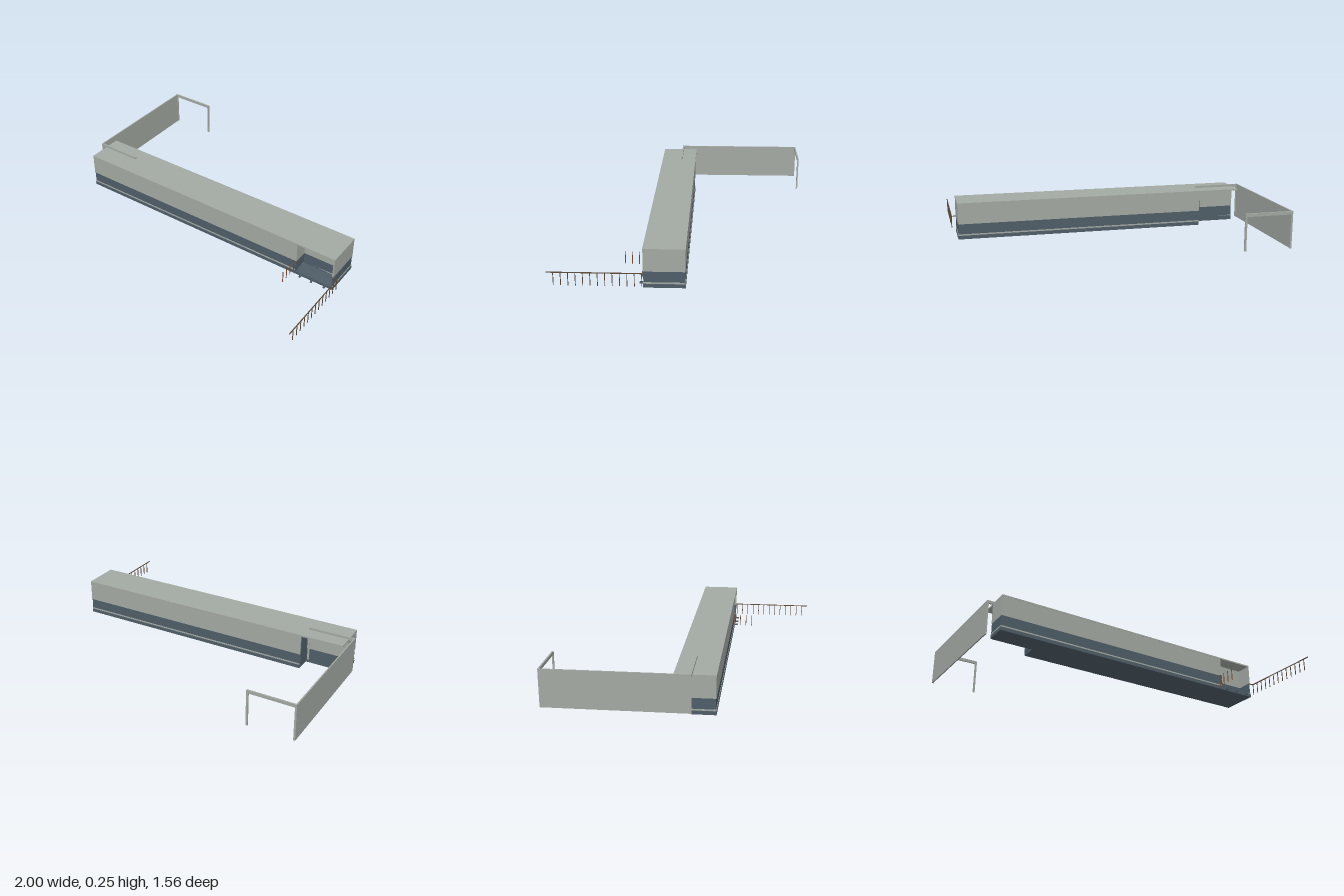
import * as THREE from 'three';

const mat = (name, color) => {
  const m = new THREE.MeshStandardMaterial({ color });
  m.name = name;
  return m;
};

export function createModel() {
  const model = new THREE.Group();
  const cladding = mat('grey cladding', 0xa3a9a3);
  const glazing = mat('slate blue', 0x4f5e68);
  const wood = mat('dark wood', 0x5c4a36);
  const redWood = mat('reddish wood', 0x7a4a2c);

  const add = (name, geometry, material, parent = model) => {
    const mesh = new THREE.Mesh(geometry, material);
    mesh.name = name;
    parent.add(mesh);
    return mesh;
  };

  // box given by its two extreme corners
  const box = (name, x0, x1, y0, y1, z0, z1, material, parent) => {
    const g = new THREE.BoxGeometry(x1 - x0, y1 - y0, z1 - z0);
    g.translate((x0 + x1) / 2, (y0 + y1) / 2, (z0 + z1) / 2);
    return add(name, g, material, parent);
  };

  // floor plan of [x, z] points raised from y0 to y1
  const storey = (name, plan, y0, y1, material) => {
    const shape = new THREE.Shape(plan.map(([x, z]) => new THREE.Vector2(x, -z)));
    const g = new THREE.ExtrudeGeometry(shape, { depth: y1 - y0, bevelEnabled: false });
    g.rotateX(-Math.PI / 2).translate(0, y0, 0);
    return add(name, g, material);
  };

  // building plan: open porch at the back, recessed entrance at the front
  const L = -0.96, R = 0.97, B = -0.012, F = 0.233;
  const porch = [[-0.68, B], [-0.68, 0.09], [L, 0.09]];
  const plan = (i) => [
    [L + i, F - i], [0.71, F - i], [0.71, 0.135], [0.96, 0.135], [0.96, F - i],
    [R - i, F - i], [R - i, B + i], [-0.68, B + i], [-0.68, 0.09], [L + i, 0.09],
  ];
  storey('floorSlab', [[L, F], [R, F], [R, B], ...porch], 0, 0.02, glazing);
  storey('windowBand', plan(0.003), 0.02, 0.10, glazing);
  storey('sillStrip', plan(0.001), 0.024, 0.033, cladding);
  storey('upperWall', plan(0.001), 0.10, 0.23, cladding);
  storey('roof', [[L, F], [R, F], [R, B], [L, B]], 0.23, 0.24, cladding);

  // glazed side of the back porch
  box('porchGlazing', -0.684, -0.679, 0.02, 0.225, -0.005, 0.09, glazing);

  // courtyard wall with a frame at each end
  const court = new THREE.Group();
  court.name = 'courtyardWall';
  model.add(court);
  box('longWall', -1, -0.992, 0.02, 0.255, -0.775, 0.095, cladding, court);
  for (const z of [-0.78, 0.085]) {
    box('frameBeam', -1, -0.69, 0.235, 0.255, z, z + 0.01, cladding, court);
    box('framePost', -0.702, -0.69, 0.02, 0.235, z, z + 0.01, cladding, court);
    box('frameColumn', -1, -0.988, 0.02, 0.235, z, z + 0.01, cladding, court);
  }

  // long railing running forward from the entrance
  const rail = new THREE.Group();
  rail.name = 'railing';
  model.add(rail);
  box('handrail', 0.993, 0.998, 0.097, 0.102, 0.23, 0.78, wood, rail);
  box('handrailReturn', 0.96, 0.998, 0.097, 0.102, 0.23, 0.235, wood, rail);
  for (let i = 0; i < 13; i++) {
    const z = 0.236 + i * 0.042;
    box('railPost', 0.9935, 0.9975, 0.02, 0.098, z - 0.002, z + 0.002, wood, rail);
  }

  // short posts on the other side of the entrance
  for (let i = 0; i < 4; i++) {
    const z = 0.236 + i * 0.042;
    box('entrancePost', 0.692, 0.696, 0.02, 0.10, z - 0.002, z + 0.002, redWood, rail);
  }
  box('entranceRail', 0.692, 0.712, 0.097, 0.102, 0.234, 0.238, redWood, rail);
  box('entrancePost', 0.707, 0.711, 0.02, 0.10, 0.234, 0.238, redWood, rail);

  // brackets below the entrance floor
  for (const x of [0.75, 0.83, 0.92]) {
    box('floorBracket', x - 0.005, x + 0.005, 0.004, 0.014, 0.22, 0.255, glazing);
  }

  return model;
}
